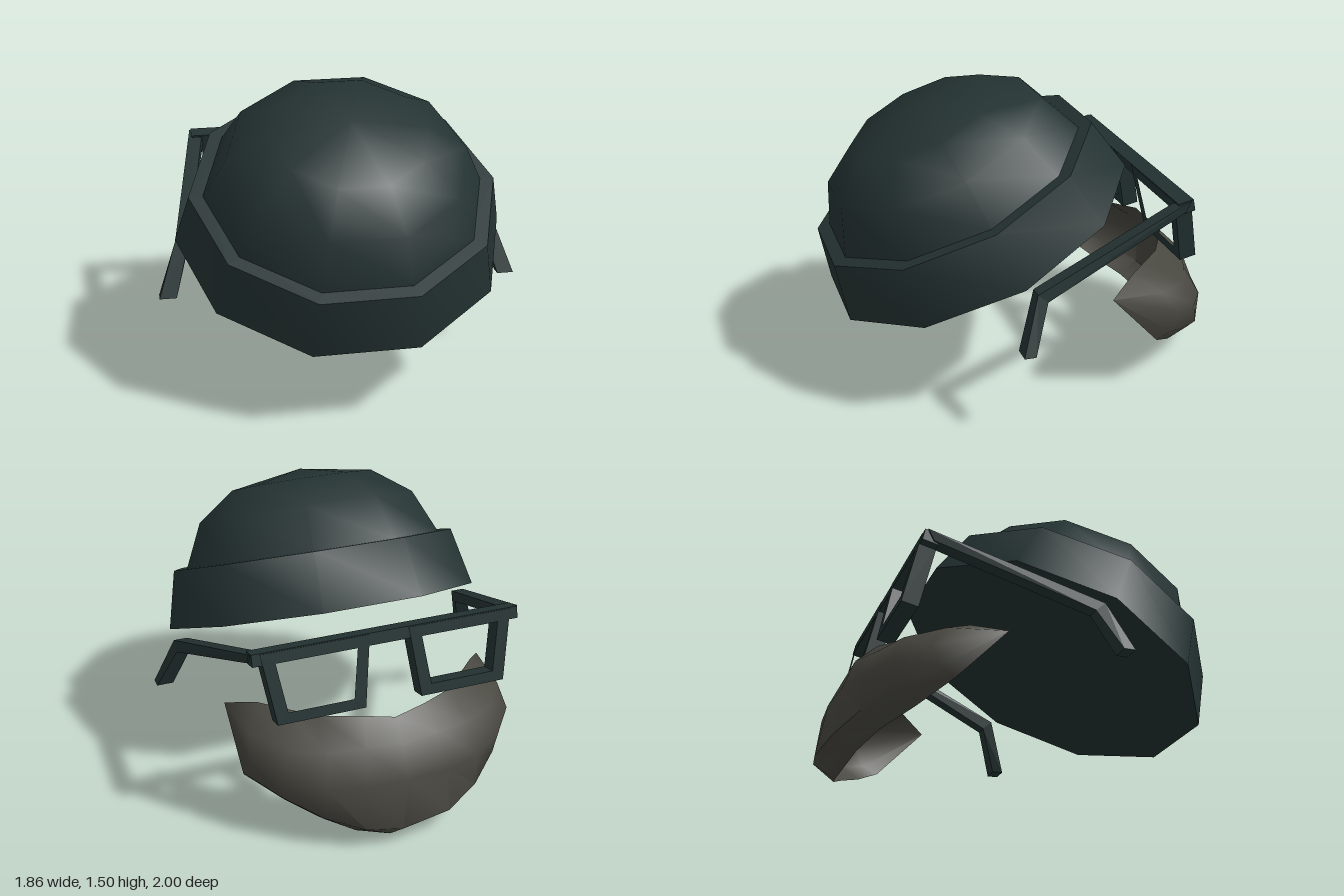
import * as THREE from 'three';
import { toCreasedNormals } from 'three/addons/utils/BufferGeometryUtils.js';

export function createModel() {
  const model = new THREE.Group();
  const darkTeal = new THREE.MeshStandardMaterial({ color: 0x243232 });
  darkTeal.name = 'darkTeal';
  const greyBrown = new THREE.MeshStandardMaterial({ color: 0x47463f, side: THREE.DoubleSide });
  greyBrown.name = 'greyBrown';

  const add = (parent, name, geometry, material) => {
    const mesh = new THREE.Mesh(geometry, material);
    mesh.name = name;
    parent.add(mesh);
    return mesh;
  };

  // Ten-sided turned solid with flat sides at front and back
  const turned = (profile) => toCreasedNormals(
    new THREE.LatheGeometry(profile.map(([r, y]) => new THREE.Vector2(r, y)), 10, Math.PI / 10), 0.85);

  // Hat: a cuff with a closed base, and a faceted dome, tilted forward
  const hat = new THREE.Group();
  hat.name = 'hat';
  hat.position.set(0, 0.745, 0.215);
  hat.rotation.x = 0.42;
  add(hat, 'hatCuff', turned([[0, 0], [0.835, 0], [0.765, 0.295], [0.66, 0.295]]), darkTeal);
  add(hat, 'hatDome', turned([[0.695, 0.295], [0.59, 0.52], [0.39, 0.663], [0, 0.73]]), darkTeal);
  model.add(hat);

  // Glasses front: brow bar and two tapering square rims, leaning back
  const glasses = new THREE.Group();
  glasses.name = 'glasses';
  const front = new THREE.Group();
  front.name = 'glassesFront';
  front.position.set(0, 1.01, -0.655);
  front.rotation.x = 0.21;
  add(front, 'browBar', new THREE.BoxGeometry(1.36, 0.06, 0.08), darkTeal).position.y = -0.025;
  const outline = (target, s, pts) => {
    pts.forEach(([x, y], i) => (i ? target.lineTo(s * x, y) : target.moveTo(s * x, y)));
    target.closePath();
    return target;
  };
  for (const s of [-1, 1]) {
    const rim = outline(new THREE.Shape(), s, [[0.1, 0], [0.64, 0], [0.585, -0.353], [0.145, -0.353]]);
    rim.holes.push(outline(new THREE.Path(), s, [[0.165, -0.055], [0.57, -0.055], [0.53, -0.3], [0.2, -0.3]]));
    const geometry = new THREE.ExtrudeGeometry(rim, { depth: 0.086, bevelEnabled: false });
    geometry.translate(0, 0, -0.043);
    add(front, s > 0 ? 'leftRim' : 'rightRim', geometry, darkTeal);
  }
  glasses.add(front);

  // Temple: rectangular sections [x, halfWidth, outer y, outer z, inner y, inner z]
  const stations = [
    [0.652, 0.037, 1.02, -0.68, 0.962, -0.65],
    [0.797, 0.035, 0.71, 0.155, 0.665, 0.105],
    [0.885, 0.043, 0.44, 0.253, 0.438, 0.195],
  ];
  const temple = (s) => {
    const pos = [], index = [];
    for (const [x, w, oy, oz, iy, iz] of stations) {
      pos.push(s * (x - w), oy, oz, s * (x + w), oy, oz, s * (x + w), iy, iz, s * (x - w), iy, iz);
    }
    const quad = (a, b, c, d) => index.push(...(s > 0 ? [a, b, c, a, c, d] : [a, c, b, a, d, c]));
    for (let k = 0; k < 2; k++) {
      for (let i = 0; i < 4; i++) {
        const j = (i + 1) % 4, p = k * 4;
        quad(p + i, p + 4 + i, p + 4 + j, p + j);
      }
    }
    quad(0, 1, 2, 3);
    quad(8, 11, 10, 9);
    const g = new THREE.BufferGeometry();
    g.setAttribute('position', new THREE.Float32BufferAttribute(pos, 3));
    g.setIndex(index);
    const flat = g.toNonIndexed();
    flat.computeVertexNormals();
    return flat;
  };
  add(glasses, 'leftTemple', temple(1), darkTeal);
  add(glasses, 'rightTemple', temple(-1), darkTeal);
  model.add(glasses);

  // Beard: half of a curved sheet, in columns from the middle to the side tip
  const tip = [0.7, 0.55, -0.28];
  const columns = [
    [[0, 0.6, -0.79], [0, 0.5, -0.89], [0, 0.35, -0.96], [0.04, 0.1, -1.0], [0.06, 0, -0.89]],
    [[0.16, 0.63, -0.77], [0.19, 0.52, -0.88], [0.21, 0.35, -0.945], [0.22, 0.12, -0.97], [0.23, 0.045, -0.86]],
    [[0.35, 0.61, -0.66], [0.37, 0.5, -0.82], [0.4, 0.35, -0.9], [0.4, 0.18, -0.89], [0.38, 0.11, -0.79]],
    [[0.48, 0.61, -0.53], [0.54, 0.51, -0.74], [0.57, 0.38, -0.79], [0.56, 0.25, -0.76], [0.53, 0.18, -0.67]],
    [[0.58, 0.61, -0.43], [0.67, 0.53, -0.57], [0.69, 0.42, -0.65], [0.695, 0.32, -0.6], [0.69, 0.28, -0.53]],
    [tip, tip, tip, tip, tip],
  ];
  const points = [], faces = [];
  for (let c = -5; c <= 5; c++) {
    for (const [x, y, z] of columns[Math.abs(c)]) points.push(c < 0 ? -x : x, y, z);
  }
  for (let c = 0; c < 10; c++) {
    for (let r = 0; r < 4; r++) {
      const a = c * 5 + r, b = a + 5;
      faces.push(a, b, a + 1, b, b + 1, a + 1);
    }
  }
  const beard = new THREE.BufferGeometry();
  beard.setAttribute('position', new THREE.Float32BufferAttribute(points, 3));
  beard.setIndex(faces);
  add(model, 'beard', toCreasedNormals(beard, 1.0), greyBrown);

  return model;
}
